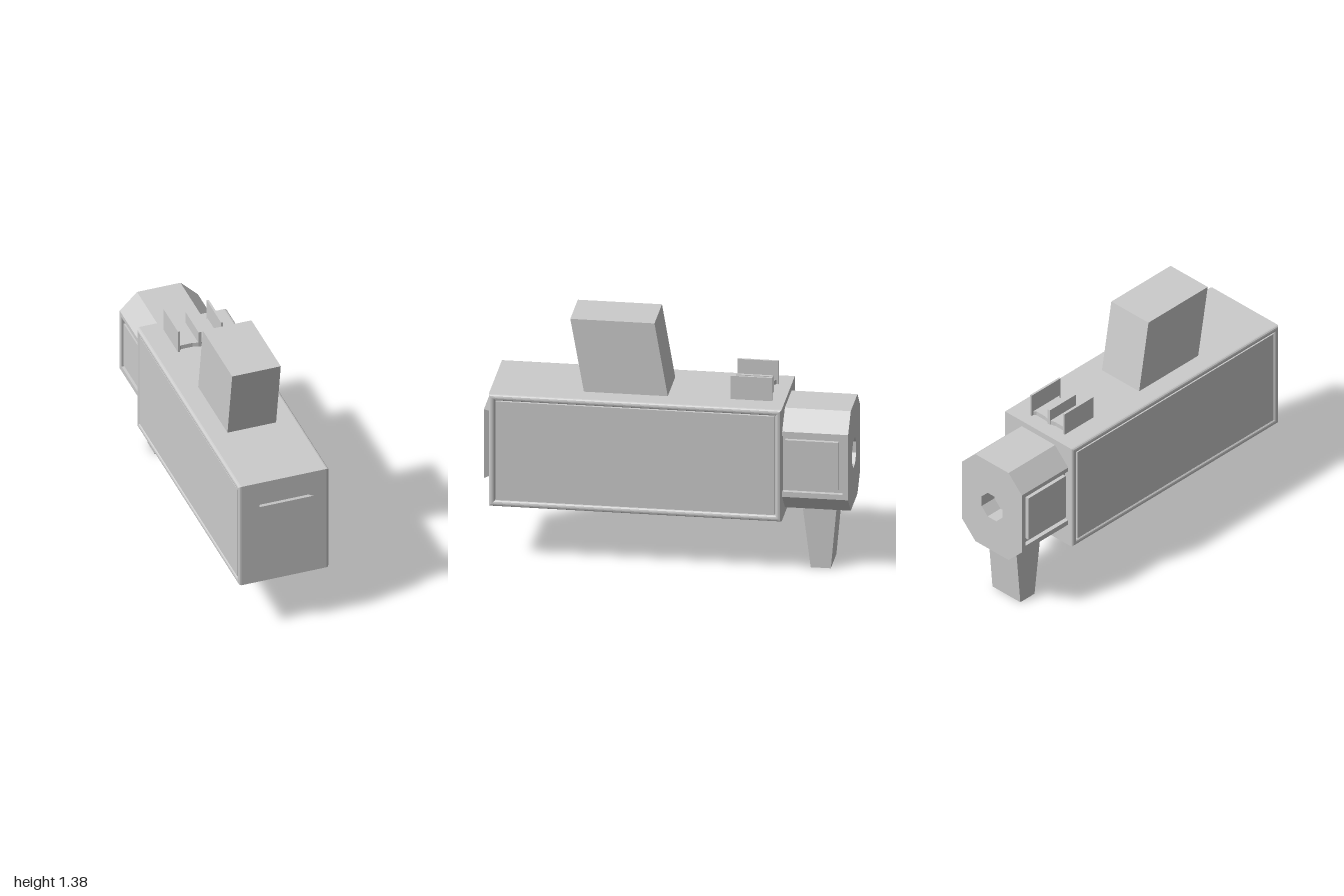
import * as THREE from 'three';

const material = new THREE.MeshStandardMaterial({ color: 0xcccccc, flatShading: true });

export function createModel() {
  const model = new THREE.Group();

  function add(name, geometry, x = 0, y = 0, z = 0) {
    const mesh = new THREE.Mesh(geometry, material);
    mesh.name = name;
    mesh.position.set(x, y, z);
    model.add(mesh);
    return mesh;
  }

  // Box given by its limits
  function box(name, x0, x1, y0, y1, z0, z1) {
    return add(name, new THREE.BoxGeometry(x1 - x0, y1 - y0, z1 - z0),
      (x0 + x1) / 2, (y0 + y1) / 2, (z0 + z1) / 2);
  }

  const polygon = (points, Type = THREE.Shape) => new Type(points.map(p => new THREE.Vector2(...p)));
  const rect = (a0, a1, b0, b1) => [[a0, b0], [a1, b0], [a1, b1], [a0, b1]];

  // Profile of [z, y] points extruded symmetrically across x
  function sideExtrude(shape, halfWidth, bevel = 0) {
    const depth = 2 * (halfWidth - bevel);
    const g = new THREE.ExtrudeGeometry(shape, {
      depth, bevelEnabled: bevel > 0, bevelSize: bevel, bevelThickness: bevel, bevelSegments: 3,
    });
    return g.translate(0, 0, -depth / 2).rotateY(-Math.PI / 2);
  }

  // Main housing: rounded frame, with a core and side panels set inside grooves
  const z0 = -0.64, z1 = 0.96, y0 = 0.315, y1 = 0.965, r = 0.015;
  const inset = d => rect(z0 + d, z1 - d, y0 + d, y1 - d);
  const frame = polygon(inset(r));
  frame.holes.push(polygon(inset(0.02), THREE.Path));
  add('housing', sideExtrude(frame, 0.26, r));
  box('housingCore', -0.24, 0.24, y0 + 0.02, y1 - 0.02, z0 + 0.02, z1 - 0.02);
  for (const s of [-1, 1]) {
    const panel = box('sidePanel', -0.015, 0.015, y0 + 0.038, y1 - 0.038, z0 + 0.038, z1 - 0.038);
    panel.position.x = s * 0.241;
  }

  // Front plate, flaring toward the front
  const plate = new THREE.BoxGeometry(0.31, 0.4, 0.05);
  const pp = plate.attributes.position;
  for (let i = 0; i < pp.count; i++) {
    if (pp.getZ(i) < 0) pp.setXY(i, pp.getX(i) * 0.88, pp.getY(i) * 0.91);
  }
  add('frontPlate', plate, 0, 0.636, 0.975);

  // Slanted block on top and tapered grip below
  add('topBlock', sideExtrude(polygon([[-0.005, 0.95], [0.453, 0.95], [0.53, 1.385], [0.07, 1.385]]), 0.14));
  add('grip', sideExtrude(polygon([[-0.888, 0], [-0.778, 0], [-0.733, 0.36], [-0.92, 0.36]]), 0.105));

  // Rear block: chamfered outline, notched at the sides ahead of the end cap
  function rearSection(name, notched, zBack, zFront) {
    const right = notched
      ? [[0.225, 0.45], [0.225, 0.48], [0.2, 0.48], [0.2, 0.805], [0.225, 0.805], [0.225, 0.83]]
      : [[0.225, 0.45], [0.225, 0.83]];
    const half = [[0.125, 0.35], ...right, [0.125, 0.93]];
    const shape = polygon([...half, ...half.map(([x, y]) => [-x, y]).reverse()]);
    const bore = [];
    for (let i = 0; i < 8; i++) {
      const a = (i + 0.5) * Math.PI / 4;
      bore.push([0.085 * Math.cos(a), 0.64 + 0.085 * Math.sin(a)]);
    }
    shape.holes.push(polygon(bore, THREE.Path));
    add(name, new THREE.ExtrudeGeometry(shape, { depth: zFront - zBack, bevelEnabled: false }), 0, 0, zBack);
  }
  rearSection('rearBlock', true, -0.97, -0.63);
  rearSection('rearCap', false, -1, -0.97);
  box('boreFloor', -0.1, 0.1, 0.54, 0.74, -0.9, -0.88);
  for (const s of [-1, 1]) {
    const panel = box('rearSidePanel', -0.012, 0.012, 0.505, 0.78, -0.945, -0.655);
    panel.position.x = s * 0.21;
  }

  // Sight on top: waisted base, two outer walls and a lower middle fin
  const edge = [[-0.13, 0.11], [-0.105, 0.09], [-0.04, 0.09], [0, 0.1], [0.04, 0.09], [0.105, 0.09], [0.13, 0.11]];
  const base = polygon([...edge, ...edge.map(([x, z]) => [x, -z]).reverse()]);
  add('sightBase', new THREE.ExtrudeGeometry(base, { depth: 0.035, bevelEnabled: false })
    .rotateX(-Math.PI / 2), 0, 0.955, -0.457);
  for (const s of [-1, 1]) {
    const wall = box('sightWall', -0.006, 0.006, 0.955, 1.1, -0.57, -0.345);
    wall.position.x = s * 0.124;
  }
  box('sightFin', -0.008, 0.008, 0.955, 1.06, -0.56, -0.355);

  return model;
}
